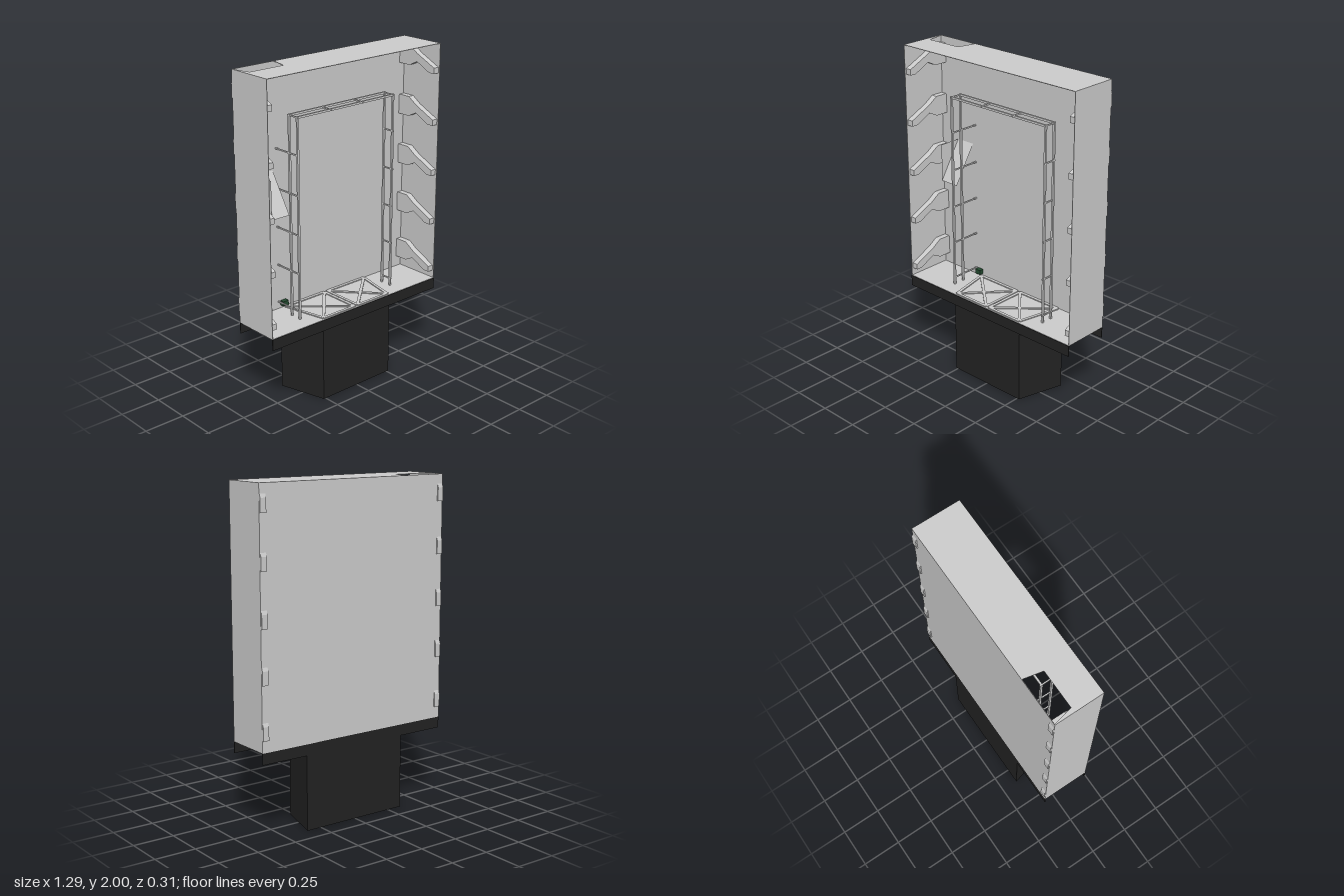
import * as THREE from 'three';

const material = (color) => new THREE.MeshStandardMaterial({ color, flatShading: true, side: THREE.DoubleSide });
const grey = material(0xcccccc);
const dark = material(0x222222);
const green = material(0x244a30);

export function createModel() {
  const model = new THREE.Group();

  const add = (name, geometry, mat = grey, parent = model) => {
    const mesh = new THREE.Mesh(geometry, mat);
    mesh.name = name;
    parent.add(mesh);
    return mesh;
  };
  // Box given by its minimum and maximum corners
  const box = (name, a, b, mat, parent) => {
    const mesh = add(name, new THREE.BoxGeometry(b[0] - a[0], b[1] - a[1], b[2] - a[2]), mat, parent);
    mesh.position.set((a[0] + b[0]) / 2, (a[1] + b[1]) / 2, (a[2] + b[2]) / 2);
    return mesh;
  };
  // Square bar between two points
  const bar = (name, p, q, width, height, parent) => {
    const from = new THREE.Vector3(...p), to = new THREE.Vector3(...q);
    const mesh = add(name, new THREE.BoxGeometry(width, height, from.distanceTo(to)), grey, parent);
    mesh.position.copy(from).lerp(to, 0.5);
    mesh.lookAt(to);
    return mesh;
  };
  const shapeOf = (points) => new THREE.Shape(points.map(([x, y]) => new THREE.Vector2(x, y)));
  // Plan outline (x, z) raised from y0 to y1
  const slab = (name, outline, y0, y1, mat, hole) => {
    const shape = shapeOf(outline.map(([x, z]) => [x, -z]));
    if (hole) shape.holes.push(shapeOf(hole.map(([x, z]) => [x, -z])));
    const geometry = new THREE.ExtrudeGeometry(shape, { depth: y1 - y0, bevelEnabled: false });
    geometry.rotateX(-Math.PI / 2).translate(0, y0, 0);
    return add(name, geometry, mat);
  };

  const W = 0.645, F = 0.15, B = -0.147, FLOOR = 0.52, T = 0.003;

  // Cabinet shell, open at the front
  box('backWall', [-W, FLOOR, B], [W, 2, B + T]);
  for (const s of [-1, 1]) {
    const wall = box('sideWall', [-T / 2, FLOOR, B], [T / 2, 2, F]);
    wall.position.x = s * (W - T / 2);
  }
  const rect = [[-W, F], [W, F], [W, B], [-W, B]];
  slab('floor', rect, FLOOR - T, FLOOR);
  slab('roof', rect, 2 - T, 2, grey,
    [[-0.64, B + 0.003], [-0.36, B + 0.003], [-0.385, -0.03], [-0.615, -0.03]]);

  // Dark skirts and tapered pedestal
  box('frontSkirt', [-W, 0.45, F - 0.004], [W, FLOOR - 0.002, F + 0.003], dark);
  box('backSkirt', [-W, 0.45, B], [W, FLOOR - 0.002, B + 0.004], dark);
  slab('pedestal', [[-0.265, 0.145], [0.265, 0.145], [0.345, B + 0.001], [-0.345, B + 0.001]], 0, FLOOR - 0.005, dark);

  // Side brackets: bars that rise toward the back and poke through it
  const profile = [[0.14, 0], [0.14, 0.035], [0, 0.1], [-0.06, 0.14], [-0.14, 0.14],
    [-0.155, 0.1], [-0.155, 0.02], [-0.06, 0.02], [0, 0.05], [0.1, 0]];
  const bracket = new THREE.ExtrudeGeometry(shapeOf(profile), { depth: 0.038, bevelEnabled: false });
  bracket.rotateY(-Math.PI / 2).translate(0.019, 0, 0);
  for (const s of [-1, 1]) {
    for (let i = 0; i < 5; i++) {
      add('sideBracket', bracket).position.set(s * 0.624, 0.567 + i * 0.3135, 0);
    }
  }

  // Sloping chute with a triangular cheek
  const chute = new THREE.Group();
  chute.name = 'chute';
  model.add(chute);
  const slope = new THREE.PlaneGeometry(0.125, Math.hypot(0.23, 0.142));
  const ramp = add('chuteRamp', slope, grey, chute);
  ramp.position.set(-0.4475, 1.265, -0.073);
  ramp.rotation.x = -Math.atan2(0.142, 0.23);
  const cheek = new THREE.ShapeGeometry(shapeOf([[-0.144, 1.38], [-0.002, 1.15], [-0.002, 1.38]]));
  add('chuteCheek', cheek.rotateY(-Math.PI / 2), grey, chute).position.x = -0.51;

  // Double door frame with spacers
  const frame = new THREE.Group();
  frame.name = 'doorFrame';
  model.add(frame);
  const X = 0.361, TOP = 1.722, zs = [0.05, -0.02];
  for (const z of zs) {
    for (const s of [-1, 1]) {
      box('framePost', [s * X - 0.006, FLOOR, z - 0.006], [s * X + 0.006, TOP, z + 0.006], grey, frame);
    }
    box('frameHead', [-X - 0.006, TOP - 0.006, z - 0.006], [X + 0.006, TOP + 0.006, z + 0.006], grey, frame);
  }
  for (let i = 0; i < 5; i++) {
    const y = 0.565 + i * 0.235;
    bar('wallRod', [-X, y, 0.055], [-X, y, B + T], 0.008, 0.008, frame);
    bar('frameSpacer', [X, y, 0.06], [X, y, -0.03], 0.008, 0.008, frame);
  }
  for (const x of [-X, -0.12, 0.12, X]) {
    bar('headSpacer', [x, TOP, 0.06], [x, TOP, -0.03], 0.008, 0.008, frame);
  }

  // Cross-braced floor grates fitting the pedestal outline
  const grates = new THREE.Group();
  grates.name = 'floorGrates';
  model.add(grates);
  const y = FLOOR + 0.002, zf = 0.135, zb = -0.135;
  for (const s of [-1, 1]) {
    const inF = [s * 0.012, y, zf], inB = [s * 0.012, y, zb];
    const outF = [s * 0.255, y, zf], outB = [s * 0.315, y, zb];
    const edges = [[inF, inB], [outF, outB], [inF, outF], [inB, outB], [inF, outB], [outF, inB]];
    for (const [p, q] of edges) bar('grateBar', p, q, 0.018, 0.008, grates);
  }

  // Small green box by the back wall
  box('greenBox', [-0.348, 0.538, B + T], [-0.308, 0.567, -0.115], green);

  return model;
}
